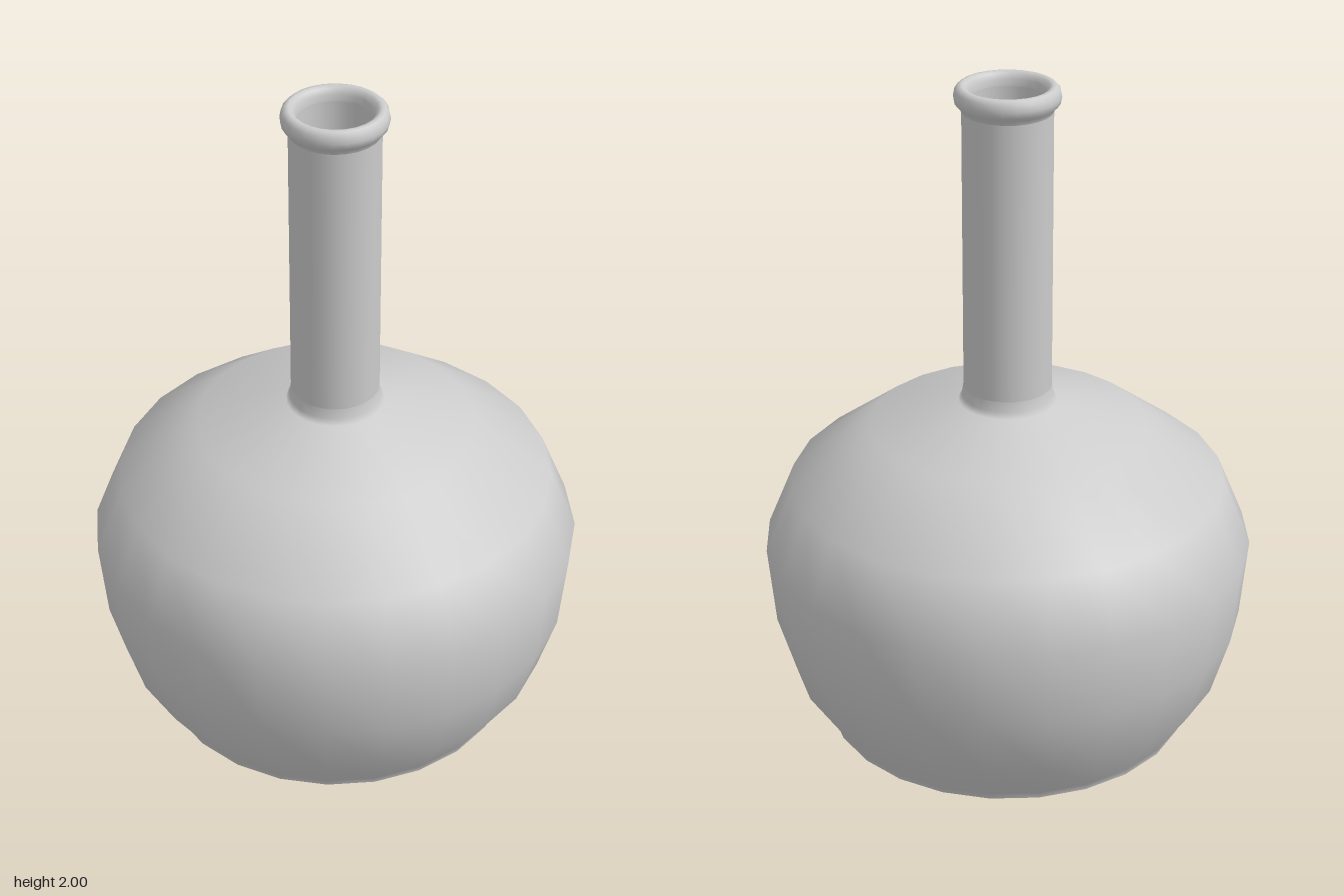
import * as THREE from 'three';

const SIDES = 24;
const material = new THREE.MeshStandardMaterial({ color: 0xcccccc });

// Revolves [radius, height] pairs; upward profiles face outward
function turned(name, profile) {
  const points = profile.map(([r, y]) => new THREE.Vector2(r, y));
  const mesh = new THREE.Mesh(new THREE.LatheGeometry(points, SIDES), material);
  mesh.name = name;
  return mesh;
}

export function createModel() {
  const bottle = new THREE.Group();
  bottle.name = 'bottle';

  // Flat underside
  bottle.add(turned('base', [[0, 0], [0.55, 0]]));

  // Bulging body, sloping shoulder and the flare into the neck
  bottle.add(turned('body', [
    [0.55, 0], [0.555, 0.02], [0.65, 0.165], [0.705, 0.35], [0.727, 0.59],
    [0.645, 0.787], [0.41, 0.962], [0.145, 1.037], [0.135, 1.055], [0.13, 1.085],
  ]));

  // Slender straight neck
  bottle.add(turned('neck', [[0.13, 1.085], [0.13, 1.925]]));

  // Rounded lip rolling over into the mouth
  bottle.add(turned('lip', [
    [0.13, 1.925], [0.135, 1.938], [0.148, 1.95], [0.152, 1.968], [0.148, 1.988],
    [0.138, 1.998], [0.128, 2], [0.117, 1.995], [0.109, 1.98], [0.107, 1.96],
  ]));

  // Inside of the neck, closed by a shallow bowl
  bottle.add(turned('neckInside', [
    [0.107, 1.96], [0.107, 1.09], [0.09, 1.05], [0.05, 1.02], [0, 1.01],
  ]));

  return bottle;
}
